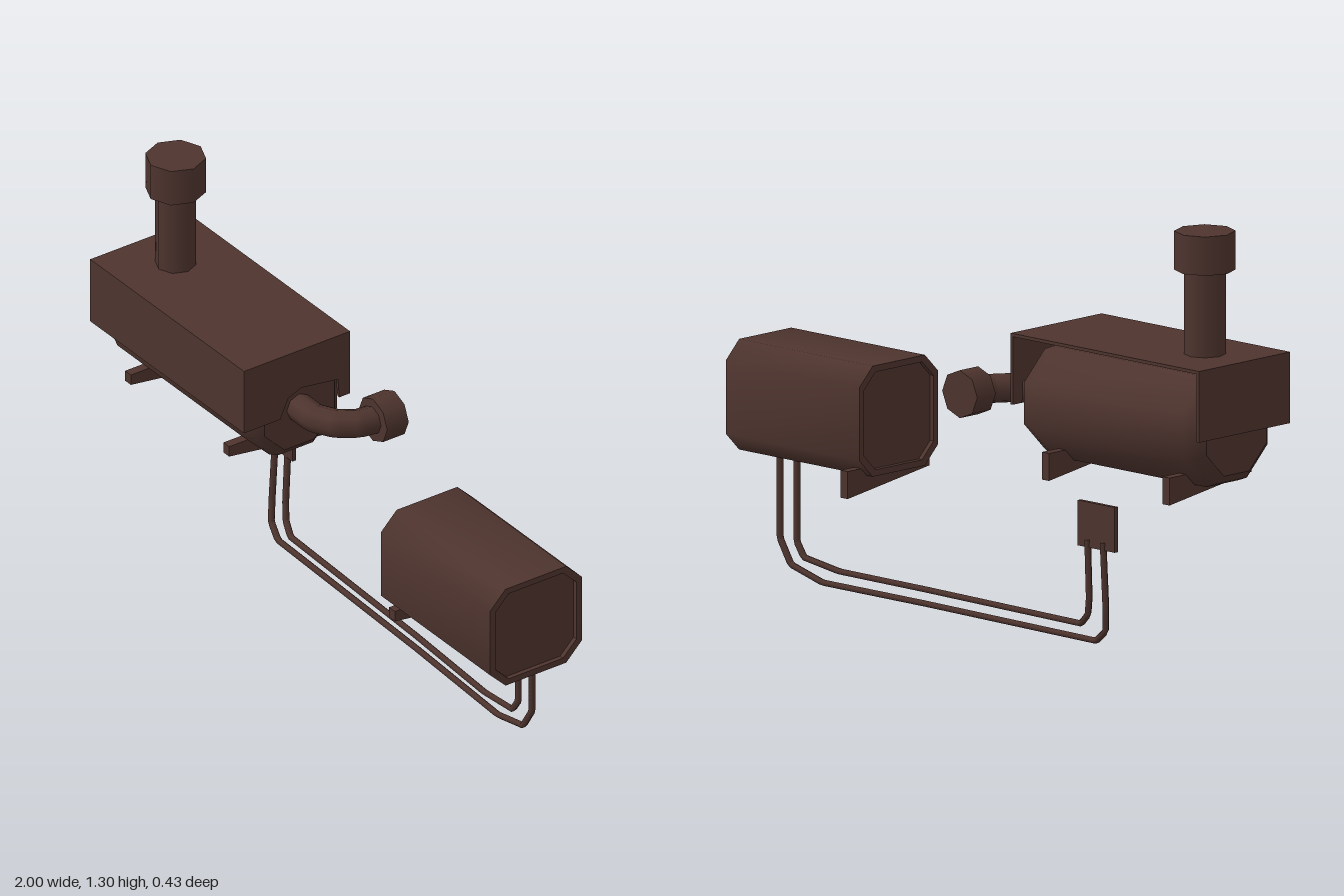
import * as THREE from 'three';

const brown = new THREE.MeshStandardMaterial({ color: 0x4e342e });
brown.name = 'darkBrown';

// Outline in the y-z plane: a square with cut corners, counter-clockwise seen from +x
function outline(h, c) {
  const k = h - c;
  return [[h, -k], [h, k], [k, h], [-k, h], [-h, k], [-h, -k], [-k, -h], [k, -h]];
}

// Skin over sections [x, halfSize, cornerCut]
function loft(sections, flat = false) {
  const pos = [], idx = [], n = 8;
  for (const [x, h, c] of sections) for (const [y, z] of outline(h, c)) pos.push(x, y, z);
  for (let i = 0; i < sections.length - 1; i++) {
    for (let j = 0; j < n; j++) {
      const a = i * n + j, b = i * n + (j + 1) % n;
      idx.push(a, b, a + n, b, b + n, a + n);
    }
  }
  let g = new THREE.BufferGeometry();
  g.setAttribute('position', new THREE.Float32BufferAttribute(pos, 3));
  g.setIndex(idx);
  if (flat) g = g.toNonIndexed();
  g.computeVertexNormals();
  return g;
}

// Plate whose outline is given as [z, y], extruded from x towards -x
function sidePlate(points, thickness) {
  const shape = new THREE.Shape(points.map(([z, y]) => new THREE.Vector2(z, y)));
  const g = new THREE.ExtrudeGeometry(shape, { depth: thickness, bevelEnabled: false });
  return g.rotateY(-Math.PI / 2);
}

// Pipe along straight runs between points
function pipe(points, radius, sides, steps) {
  const path = new THREE.CurvePath();
  const v = points.map(p => new THREE.Vector3(...p));
  for (let i = 0; i < v.length - 1; i++) path.add(new THREE.LineCurve3(v[i], v[i + 1]));
  return new THREE.TubeGeometry(path, steps, radius, sides, false);
}

export function createModel() {
  const model = new THREE.Group();
  model.name = 'twoTankAssembly';

  function add(name, geometry, x = 0, y = 0, z = 0, parent = model) {
    const mesh = new THREE.Mesh(geometry, brown);
    mesh.name = name;
    mesh.position.set(x, y, z);
    parent.add(mesh);
    return mesh;
  }
  const box = (name, x0, x1, y0, y1, z0, z1) =>
    add(name, new THREE.BoxGeometry(x1 - x0, y1 - y0, z1 - z0), (x0 + x1) / 2, (y0 + y1) / 2, (z0 + z1) / 2);

  // Cover, open at the back and underneath
  const t = 0.01;
  box('coverTop', -1, -0.205, 0.92 - t, 0.92, -0.18, 0.215);
  box('coverFront', -1, -0.205, 0.70, 0.92 - t, 0.215 - t, 0.215);
  box('coverRightEnd', -1, -1 + t, 0.70, 0.92 - t, -0.18, 0.215 - t);
  // End wall with an opening for the outlet pipe
  add('coverLeftEnd', sidePlate([
    [0.205, 0.70], [0.205, 0.91], [-0.18, 0.91], [-0.18, 0.70], [-0.14, 0.70],
    [-0.135, 0.765], [0, 0.785], [0.05, 0.765], [0.08, 0.70],
  ], t), -0.205);

  // Tank below the cover, with rounded ends
  const bodyEnds = [[-0.985, 0.13, 0.075], [-0.965, 0.155, 0.09], [-0.925, 0.17, 0.1]];
  const mirrored = bodyEnds.map(([x, h, c]) => [-1.205 - x, h, c]).reverse();
  add('coveredTank', loft([...bodyEnds, ...mirrored]), 0, 0.705, -0.002);
  add('coveredTankRightCap', loft([[-0.985, 0, 0], bodyEnds[0]], true), 0, 0.705, -0.002);
  add('coveredTankLeftCap', loft([mirrored[2], [-0.22, 0, 0]], true), 0, 0.705, -0.002);

  // Chimney
  add('chimneyPipe', new THREE.CylinderGeometry(0.063, 0.063, 0.28, 8), -0.833, 1.05, 0.017);
  add('chimneyCap', new THREE.CylinderGeometry(0.093, 0.093, 0.12, 8), -0.833, 1.24, 0.017);

  // Outlet pipe bending to the back
  add('outletPipe', pipe([
    [-0.24, 0.71, 0], [-0.14, 0.71, 0], [-0.075, 0.71, -0.035],
    [-0.037, 0.71, -0.09], [-0.027, 0.71, -0.16],
  ], 0.045, 8, 24));
  add('outletCap', new THREE.CylinderGeometry(0.074, 0.074, 0.08, 8).rotateX(Math.PI / 2), -0.027, 0.71, -0.177);

  // Second tank with recessed end panels
  const L = 0.437, R = 1, H = 0.171, C = 0.058, h = 0.151, c = 0.05, d = 0.015;
  add('openTankBody', loft([[L, H, C], [R, H, C]]), 0, 0.541, -0.004);
  add('openTankRightEnd', loft([[L + d, 0, 0], [L + d, h, c], [L, h, c], [L, H, C]], true), 0, 0.541, -0.004);
  add('openTankLeftEnd', loft([[R, H, C], [R, h, c], [R - d, h, c], [R - d, 0, 0]], true), 0, 0.541, -0.004);

  // Tapered support brackets
  const bracket = sidePlate([[0.155, 0.05], [0.155, 0.085], [-0.2, 0.085], [-0.2, 0]], 0.03);
  for (const [x, y, z] of [[-0.845, 0.487, 0.02], [-0.337, 0.487, 0.02], [0.492, 0.31, 0]]) {
    add('supportBracket', bracket, x, y, z);
  }

  // Connector plate and the two hoses
  box('connectorPlate', -0.656, -0.5, 0.31, 0.45, -0.192, -0.178);
  add('outerHose', pipe([
    [-0.605, 0.335, -0.19], [-0.605, 0.13, -0.178], [-0.593, 0.055, -0.166], [-0.545, 0.016, -0.157],
    [0.2, 0.016, -0.133], [0.65, 0.011, -0.115], [0.79, 0.045, -0.108], [0.837, 0.12, -0.107], [0.837, 0.39, -0.107],
  ], 0.0105, 6, 140));
  add('innerHose', pipe([
    [-0.54, 0.335, -0.19], [-0.535, 0.15, -0.178], [-0.52, 0.095, -0.168], [-0.48, 0.06, -0.157],
    [0.2, 0.06, -0.133], [0.58, 0.056, -0.115], [0.735, 0.075, -0.108], [0.766, 0.12, -0.107], [0.766, 0.39, -0.107],
  ], 0.0105, 6, 140));

  return model;
}
